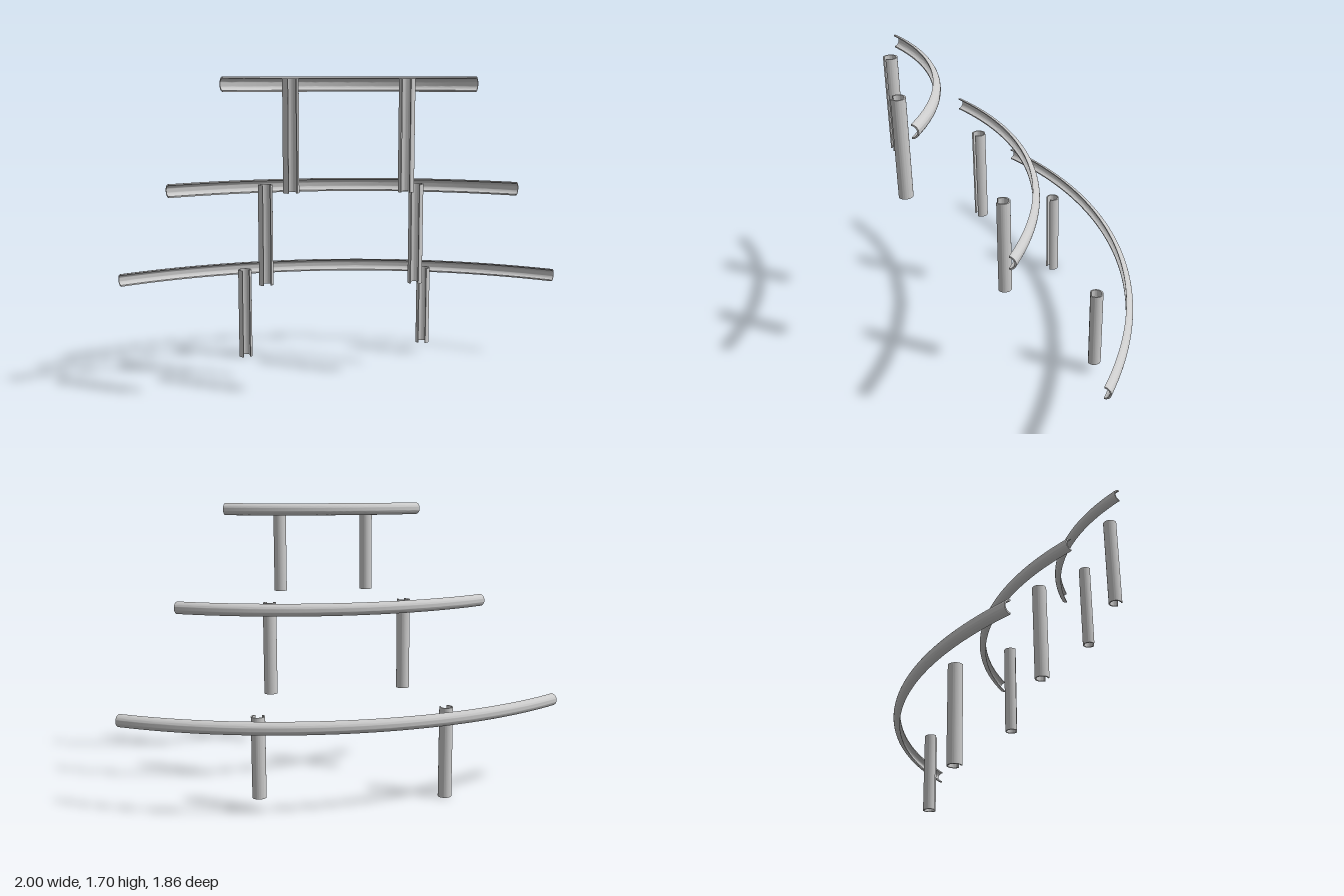
import * as THREE from 'three';
import { toCreasedNormals } from 'three/addons/utils/BufferGeometryUtils.js';

const CX = 1.26, CZ = 1.40;                 // shared centre of the concentric arcs
const MID = Math.atan2(-0.643, -0.766);     // direction of the middle of each rail
const WALL = 0.008;

// Each tier: outer rail radius, half sweep, rail centre height, posts [x, z, bottom, top]
const TIERS = [
  { name: 'lower', radius: 2.36, half: 33.6, y: 0.517, posts: [[-0.515, 0.166, 0, 0.542], [0.318, -0.543, 0.07, 0.542]] },
  { name: 'middle', radius: 1.847, half: 31.5, y: 1.09, posts: [[-0.096, 0.452, 0.558, 1.115], [0.535, -0.088, 0.558, 1.115]] },
  { name: 'upper', radius: 1.347, half: 28.4, y: 1.658, posts: [[0.321, 0.739, 1.13, 1.685], [0.754, 0.37, 1.13, 1.685]] },
];

// Thin ring section running from angle a0 to a1
function ringShape(r, a0, a1) {
  const s = new THREE.Shape();
  s.absarc(0, 0, r, a0, a1, false);
  s.absarc(0, 0, r - WALL, a1, a0, true);
  s.closePath();
  return s;
}

// Half-pipe rail, round side outward, channel toward the arc centre
function makeRail({ name, radius, half, y }, material) {
  const r = 0.0375, sweep = THREE.MathUtils.degToRad(half);
  const section = ringShape(r, -Math.PI / 2, Math.PI / 2);
  const profile = section.getPoints(14).map((p) => new THREE.Vector2(p.x + radius - r, p.y));
  if (profile[0].distanceTo(profile[profile.length - 1]) > 1e-6) profile.push(profile[0].clone());
  const rail = new THREE.Group();
  rail.name = name + 'Rail';
  const body = new THREE.Mesh(
    toCreasedNormals(new THREE.LatheGeometry(profile, 64, MID - sweep, 2 * sweep), 0.6), material);
  body.name = name + 'RailBody';
  rail.add(body);
  // Close the two cut ends
  for (const side of [-1, 1]) {
    const cap = new THREE.Mesh(new THREE.ShapeGeometry(section, 14).translate(radius - r, 0, 0), material);
    cap.rotation.y = MID + side * sweep - Math.PI / 2;
    cap.name = name + 'RailEnd';
    rail.add(cap);
  }
  rail.position.set(CX, y, CZ);
  return rail;
}

// Slotted pipe post, slot facing the arc centre
function makePost(name, [x, z, bottom, top], material) {
  const slot = Math.atan2(-(CZ - z), CX - x), gap = THREE.MathUtils.degToRad(35);
  const geometry = new THREE.ExtrudeGeometry(ringShape(0.04, slot + gap, slot + 2 * Math.PI - gap),
    { depth: top - bottom, bevelEnabled: false, curveSegments: 28 });
  geometry.rotateX(-Math.PI / 2);
  const post = new THREE.Mesh(toCreasedNormals(geometry, 0.6), material);
  post.position.set(x, bottom, z);
  post.name = name + 'Post';
  return post;
}

export function createModel() {
  const group = new THREE.Group();
  group.name = 'tieredCurvedRails';
  const material = new THREE.MeshStandardMaterial({ color: 0xcccccc, side: THREE.DoubleSide });
  for (const tier of TIERS) {
    group.add(makeRail(tier, material));
    for (const post of tier.posts) group.add(makePost(tier.name, post, material));
  }
  return group;
}
